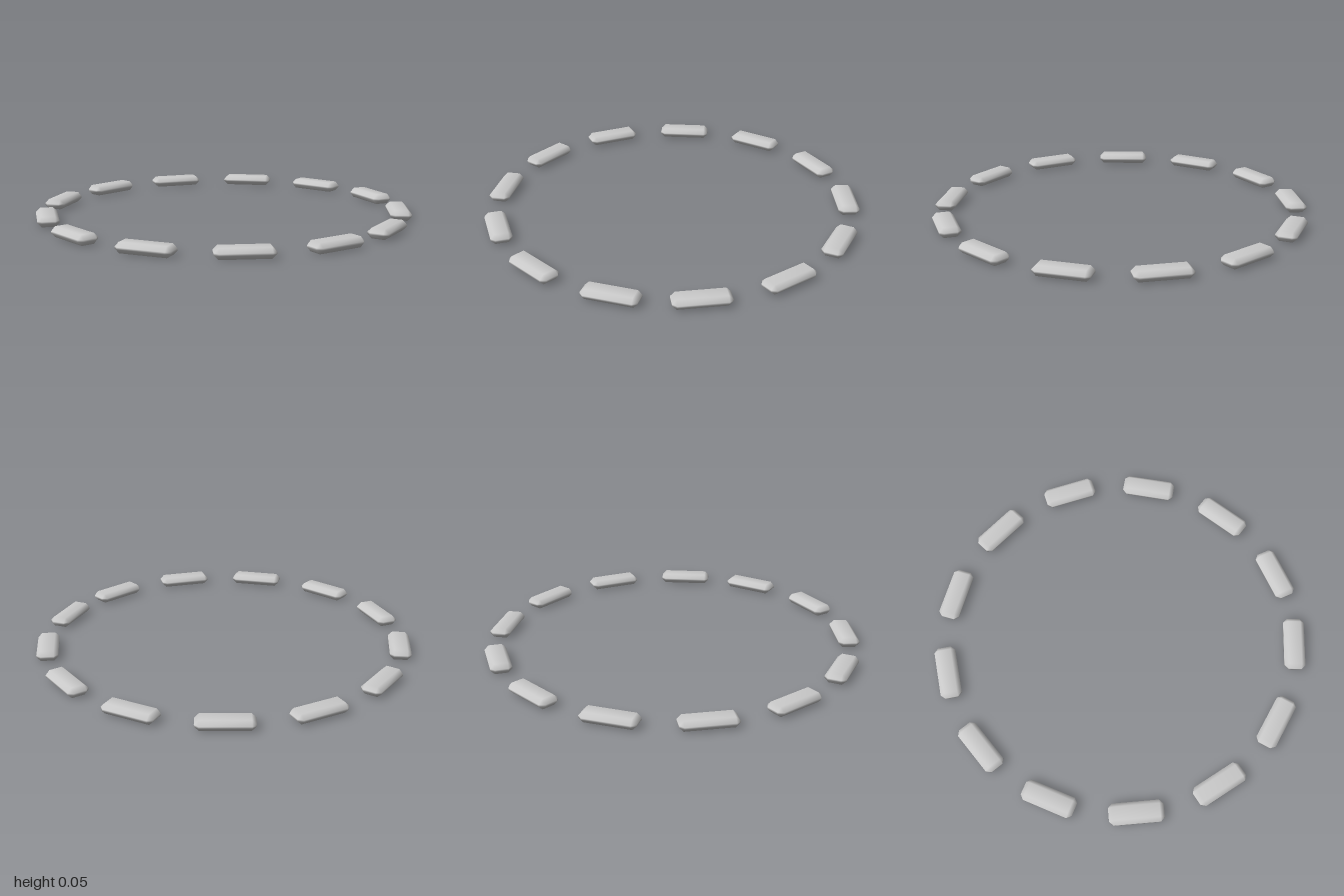
import * as THREE from 'three';
import { mergeVertices } from 'three/addons/utils/BufferGeometryUtils.js';
import { ConvexGeometry } from 'three/addons/geometries/ConvexGeometry.js';

const COUNT = 13;
const STEP = THREE.MathUtils.degToRad(27.85);
const RADIUS = 0.935;
const CENTER_Z = -0.005;
const LENGTH = 0.284, HEIGHT = 0.054, WIDTH = 0.112, BEVEL = 0.022;

// Box with every edge and corner chamfered, shaded smoothly
function chamferedBox(w, h, d, b) {
  const points = [];
  for (const sx of [-1, 1]) for (const sy of [-1, 1]) for (const sz of [-1, 1]) {
    for (let axis = 0; axis < 3; axis++) {
      const inset = [b, b, b];
      inset[axis] = 0;
      points.push(new THREE.Vector3(
        sx * (w / 2 - inset[0]), sy * (h / 2 - inset[1]), sz * (d / 2 - inset[2])));
    }
  }
  const geometry = new ConvexGeometry(points);
  geometry.deleteAttribute('normal');
  const smooth = mergeVertices(geometry, 1e-5);
  smooth.computeVertexNormals();
  return smooth;
}

export function createModel() {
  const group = new THREE.Group();
  group.name = 'ringOfBlocks';
  const material = new THREE.MeshStandardMaterial({ color: 0xcccccc });
  const geometry = chamferedBox(LENGTH, HEIGHT, WIDTH, BEVEL);

  // Blocks laid along the circle, starting at the front
  for (let i = 0; i < COUNT; i++) {
    const angle = -i * STEP;
    const block = new THREE.Mesh(geometry, material);
    block.name = `block${i + 1}`;
    block.position.set(RADIUS * Math.sin(angle), HEIGHT / 2, CENTER_Z + RADIUS * Math.cos(angle));
    block.rotation.y = angle;
    group.add(block);
  }
  return group;
}
